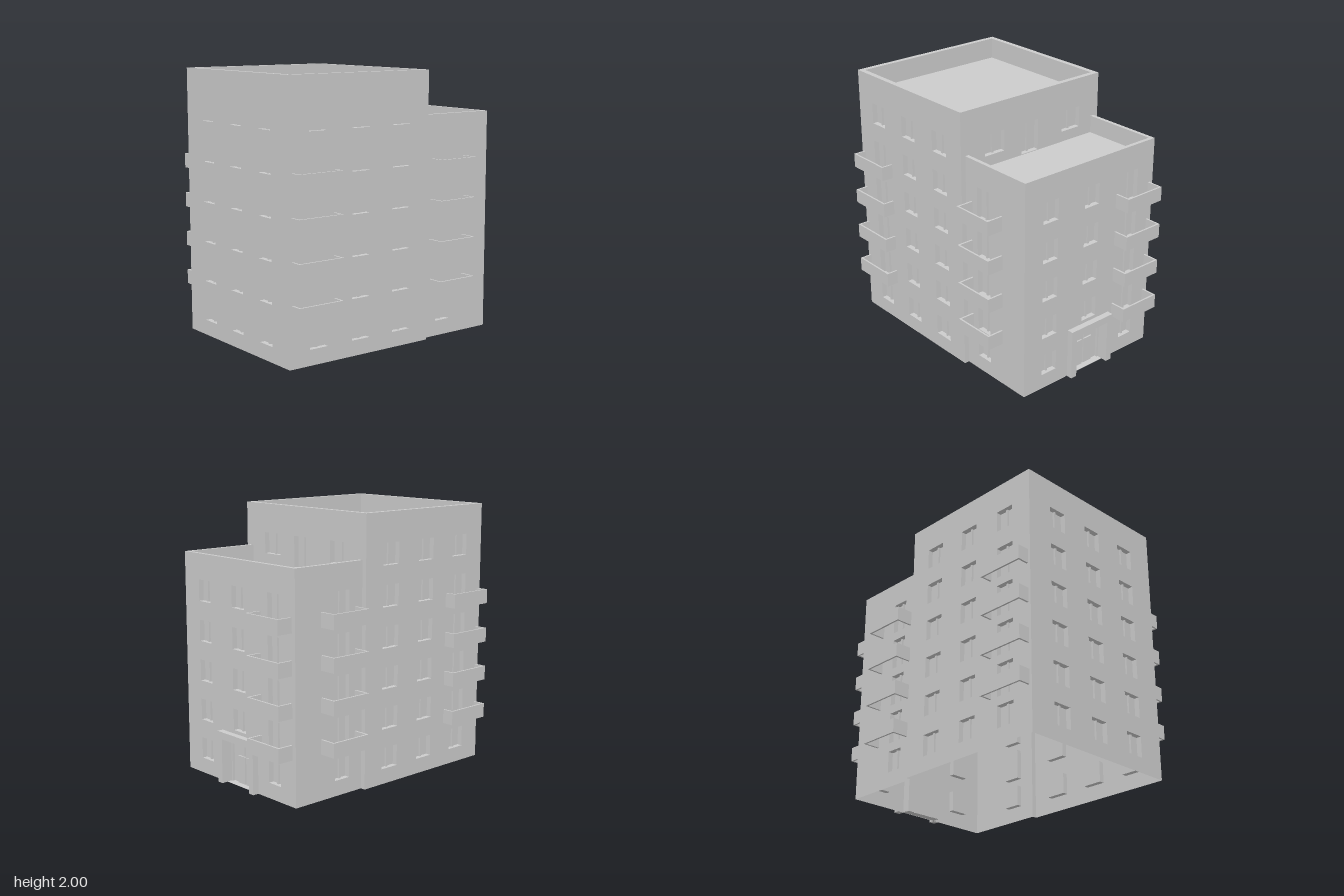
import * as THREE from 'three';

const mat = new THREE.MeshStandardMaterial({ color: 0xcccccc, side: THREE.DoubleSide, flatShading: true });
const DEPTH = 0.04;

function add(parent, name, geo, x = 0, y = 0, z = 0) {
  const m = new THREE.Mesh(geo, mat);
  m.name = name;
  m.position.set(x, y, z);
  parent.add(m);
  return m;
}

const box = (parent, name, x0, x1, y0, y1, z0, z1) =>
  add(parent, name, new THREE.BoxGeometry(x1 - x0, y1 - y0, z1 - z0), (x0 + x1) / 2, (y0 + y1) / 2, (z0 + z1) / 2);

const polygon = (pts) => new THREE.Shape(pts.map(([x, y]) => new THREE.Vector2(x, y)));
const rect = (x0, x1, y0, y1) => polygon([[x0, y0], [x1, y0], [x1, y1], [x0, y1]]);

// Box without its front face, used as the reveal and pane of an opening
function recess(parent, name, { u, w, v0, v1 }, depth) {
  const g = new THREE.BoxGeometry(w, v1 - v0, depth);
  g.setIndex(Array.from(g.index.array).filter((_, i) => i < 24 || i >= 30));
  add(parent, name, g, u, (v0 + v1) / 2, -depth / 2);
}

// One facade: local x runs along the wall, +z points outwards
function facade(parent, name, angle, dist, u0, u1, v0, v1, openings) {
  const g = new THREE.Group();
  g.name = name;
  g.rotation.y = angle;
  g.position.set(Math.sin(angle) * dist, 0, Math.cos(angle) * dist);
  parent.add(g);
  const shape = rect(u0, u1, v0, v1);
  for (const o of openings) {
    shape.holes.push(rect(o.u - o.w / 2, o.u + o.w / 2, o.v0, o.v1));
    if (o.entrance) {
      recess(g, 'entranceRecess', o, 0.06);
      continue;
    }
    recess(g, o.door ? 'balconyDoor' : 'window', o, DEPTH);
    // central post between the two panes
    box(g, 'mullion', o.u - 0.007, o.u + 0.007, o.v0, o.v1, -DEPTH, -DEPTH + 0.015);
  }
  add(g, 'wall', new THREE.ShapeGeometry(shape));
  return g;
}

// Column of openings, one per storey; storeys 1 to 4 become doors where there is a balcony
function column(u, w, storeys, hasBalcony = false, first = 0) {
  const list = [];
  for (let i = first; i < storeys; i++) {
    const y = 0.115 + 0.301 * i;
    const door = hasBalcony && i > 0 && i < 5;
    list.push({ u, w, v0: door ? y - 0.075 : y, v1: y + 0.16, door });
  }
  return list;
}

// U-shaped parapets, four storeys high
function balconies(g, name, u0, u1, reach, pitch = 0.301) {
  const t = 0.014;
  const shape = polygon([[u0, 0], [u0, reach], [u1, reach], [u1, 0],
    [u1 - t, 0], [u1 - t, reach - t], [u0 + t, reach - t], [u0 + t, 0]]);
  for (let i = 0; i < 4; i++) {
    const geo = new THREE.ExtrudeGeometry(shape, { depth: 0.108, bevelEnabled: false });
    geo.rotateX(Math.PI / 2); // plan y becomes outward z, extrusion hangs down
    add(g, name, geo, 0, 0.447 + pitch * i, 0);
  }
}

// Raised roof edge from a plan outline in x and z
function parapet(parent, name, shape, y0, y1) {
  const geo = new THREE.ExtrudeGeometry(shape, { depth: y1 - y0, bevelEnabled: false });
  geo.rotateX(Math.PI / 2);
  add(parent, name, geo, 0, y1, 0);
}

function roof(parent, name, x0, x1, z, y) {
  const geo = new THREE.PlaneGeometry(x1 - x0, 2 * z);
  geo.rotateX(-Math.PI / 2);
  add(parent, name, geo, (x0 + x1) / 2, y, 0);
}

export function createModel() {
  const model = new THREE.Group();
  model.name = 'apartmentBuilding';
  const L = -0.99, M = 0.238, R = 0.862, ZT = 0.66, ZL = 0.622;
  const tallRoof = 1.84, lowRoof = 1.54, lowTop = 1.672;

  const tower = new THREE.Group();
  tower.name = 'tallBlock';
  const wing = new THREE.Group();
  wing.name = 'lowBlock';
  model.add(tower, wing);

  // Front and back facades with their balconies, mirrored in z
  for (const s of [1, -1]) {
    const angle = s > 0 ? 0 : Math.PI;
    const side = s > 0 ? 'front' : 'back';
    const span = (a, b) => (s > 0 ? [a, b] : [-b, -a]);
    const tall = facade(tower, side + 'TallFacade', angle, ZT, ...span(L, M), 0, tallRoof, [
      ...column(-0.745 * s, 0.153, 6, true),
      ...column(-0.378 * s, 0.155, 6),
      ...column(-0.012 * s, 0.16, 6)]);
    balconies(tall, 'balcony', ...span(-0.97, -0.6), 0.092);
    const low = facade(wing, side + 'LowFacade', angle, ZL, ...span(M, R), 0, lowRoof,
      column(0.428 * s, 0.135, 5, true));
    balconies(low, 'balcony', ...span(0.293, 0.628), 0.13);
    // step between the two blocks
    const z = [ZL, ZT].map((v) => v * s).sort((a, b) => a - b);
    const step = new THREE.PlaneGeometry(ZT - ZL, tallRoof);
    step.rotateY(Math.PI / 2);
    add(tower, 'cornerReturn', step, M, tallRoof / 2, (z[0] + z[1]) / 2);
  }

  // Left facade of the tall block
  facade(tower, 'leftFacade', -Math.PI / 2, -L, -ZT, ZT, 0, tallRoof,
    [-0.37, 0, 0.37].flatMap((u) => column(u, 0.155, 6)));

  // Upper wall above the low roof, with a door onto it
  facade(tower, 'upperRightFacade', Math.PI / 2, M, -ZL, ZL, lowRoof, tallRoof, [
    { u: -0.355, w: 0.18, v0: 1.62, v1: 1.78 },
    { u: -0.025, w: 0.16, v0: lowRoof + 0.005, v1: 1.78 },
    { u: 0.38, w: 0.18, v0: 1.62, v1: 1.78 }]);

  // Right facade of the low block
  const right = facade(wing, 'rightFacade', Math.PI / 2, R, -ZL, ZL, 0, lowRoof, [
    ...column(-0.385, 0.14, 5),
    ...column(0.005, 0.14, 5, false, 1),
    ...column(0.398, 0.13, 5, true),
    { u: 0.005, w: 0.31, v0: 0.002, v1: 0.335, entrance: true }]);
  balconies(right, 'balcony', 0.245, 0.588, 0.124, 0.297);

  // Entrance portal
  const portal = polygon([[-0.2, 0], [-0.15, 0], [-0.15, 0.335], [0.16, 0.335],
    [0.16, 0], [0.21, 0], [0.21, 0.39], [-0.2, 0.39]]);
  add(right, 'entrancePortal', new THREE.ExtrudeGeometry(portal, { depth: 0.048, bevelEnabled: false }));

  // Entrance doors: mirrored leaves below tapered fanlights
  const doors = new THREE.Group();
  doors.name = 'entranceDoors';
  doors.position.set(0.005, 0, -0.06);
  right.add(doors);
  for (const s of [1, -1]) {
    const light = polygon([[0.01 * s, 0.22], [0.08 * s, 0.22], [0.142 * s, 0.325], [0.01 * s, 0.325]]);
    add(doors, 'fanlight', new THREE.ExtrudeGeometry(light, { depth: 0.012, bevelEnabled: false }));
    const x = [0.008 * s, 0.09 * s].sort((a, b) => a - b);
    box(doors, 'doorLeaf', ...x, 0, 0.21, 0, 0.012);
    const j = [0.143 * s, 0.155 * s].sort((a, b) => a - b);
    box(doors, 'doorJamb', ...j, 0, 0.335, 0, 0.02);
  }

  // Roofs and their raised edges
  roof(tower, 'tallRoof', L, M, ZT, tallRoof);
  const rim = rect(L, M, -ZT, ZT);
  rim.holes.push(rect(L + 0.04, M - 0.04, -ZT + 0.04, ZT - 0.04));
  parapet(tower, 'tallParapet', rim, tallRoof, 2);

  roof(wing, 'lowRoof', M, R, ZL, lowRoof);
  const t = 0.03;
  parapet(wing, 'lowParapet', polygon([[M, -ZL], [R, -ZL], [R, ZL], [M, ZL],
    [M, ZL - t], [R - t, ZL - t], [R - t, -ZL + t], [M, -ZL + t]]), lowRoof, lowTop);

  return model;
}
